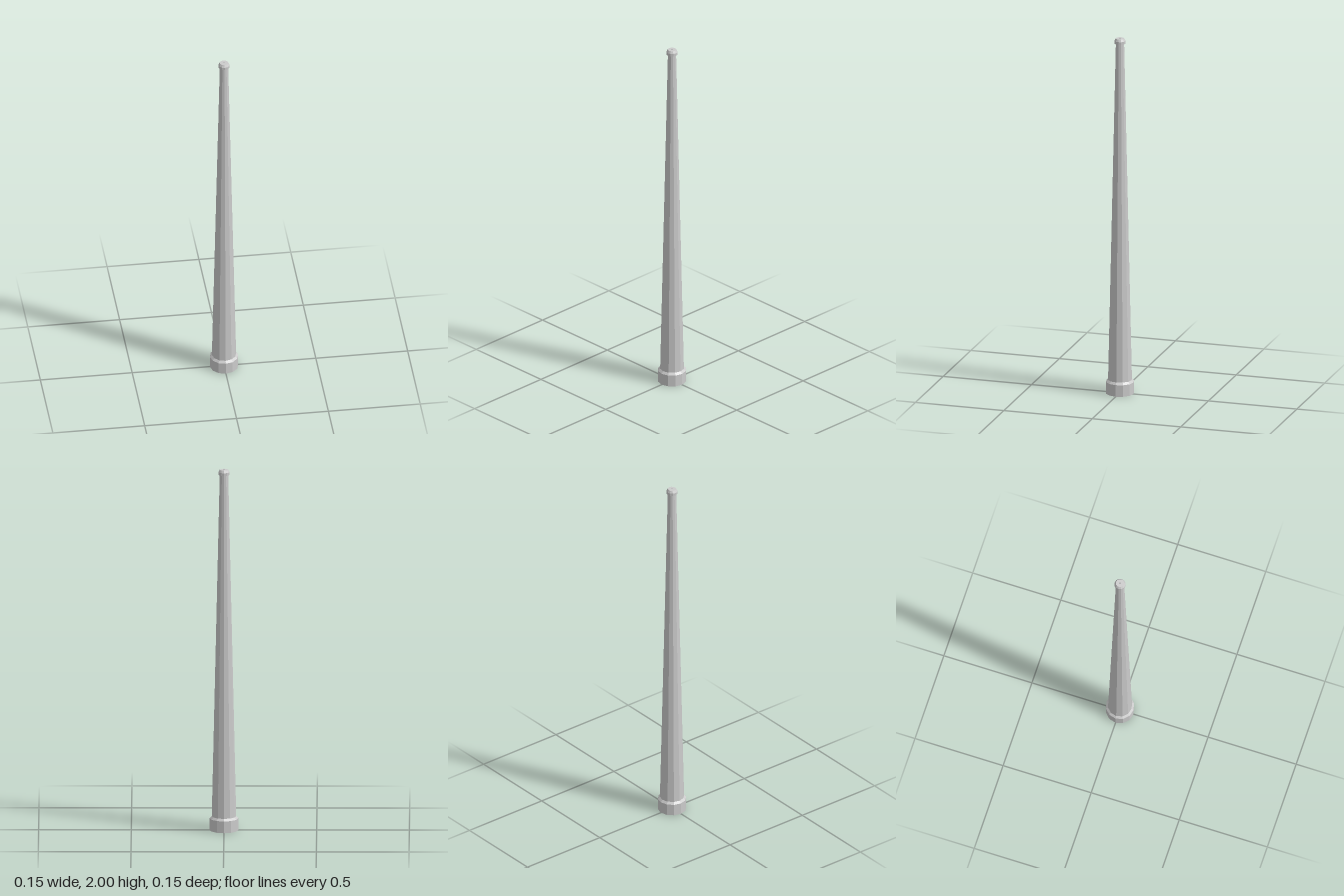
import * as THREE from 'three';

const SIDES = 12;

// Faceted hollow shell turned from a [radius, height] profile, listed bottom to top
function turned(name, profile, material) {
  const points = profile.map(([r, y]) => new THREE.Vector2(r, y));
  const mesh = new THREE.Mesh(new THREE.LatheGeometry(points, SIDES), material);
  mesh.name = name;
  return mesh;
}

export function createModel() {
  const group = new THREE.Group();
  group.name = 'taperedPole';
  const material = new THREE.MeshStandardMaterial({
    color: 0xcccccc, flatShading: true, side: THREE.DoubleSide,
  });

  // Open-bottomed foot collar with a bevelled shoulder
  group.add(turned('baseCollar', [[0.077, 0], [0.077, 0.065], [0.066, 0.077]], material));

  // Long tapering shaft
  group.add(turned('shaft', [[0.066, 0.077], [0.023, 1.972]], material));

  // Overhanging cap with bevelled rim and a small hole in its top
  group.add(turned('topCap', [
    [0.023, 1.972], [0.03, 1.972], [0.03, 1.987], [0.023, 2], [0.004, 2],
  ], material));

  return group;
}
